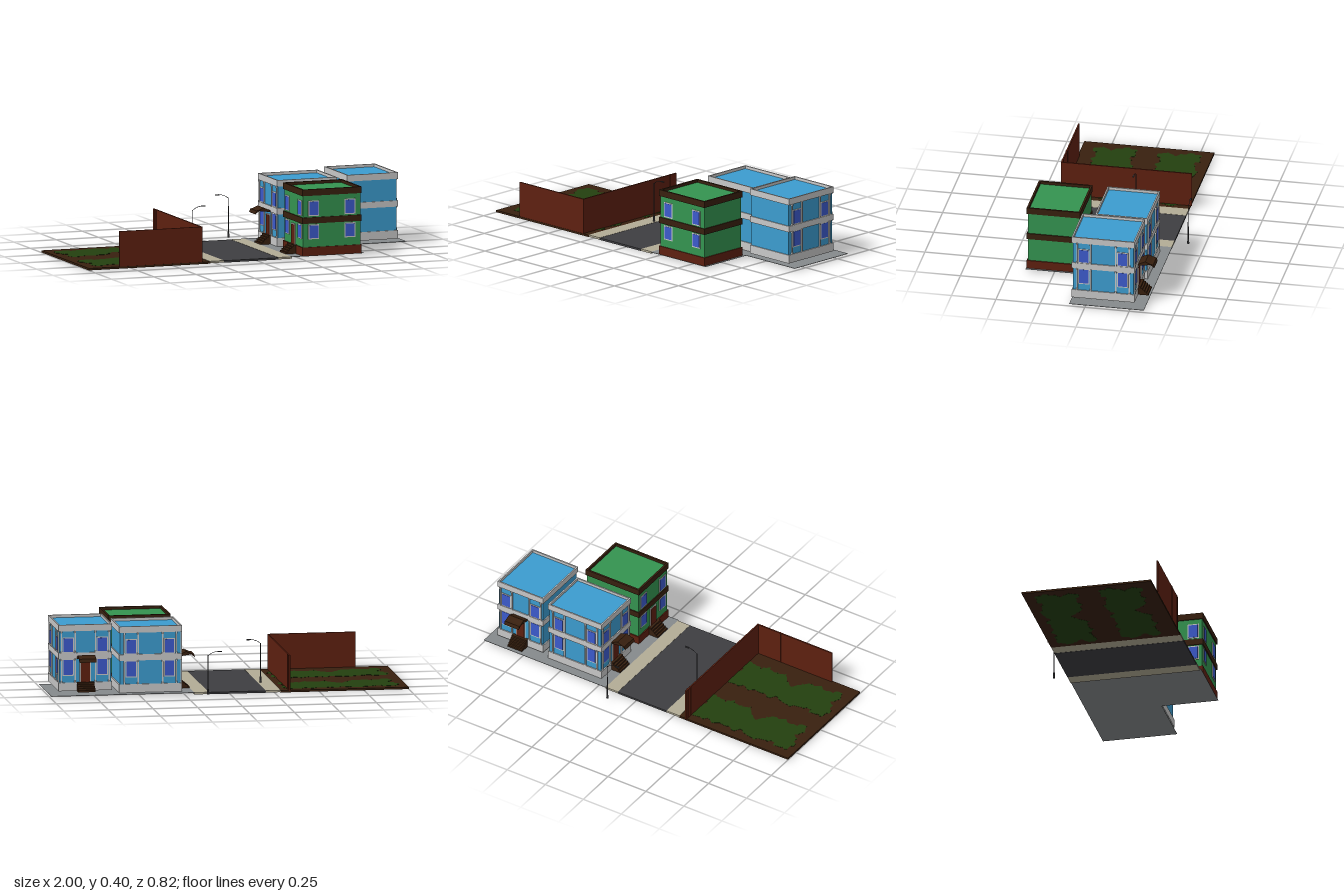
import * as THREE from 'three';

const flat = (name, color) => {
  const m = new THREE.MeshStandardMaterial({ color });
  m.name = name;
  return m;
};

export function createModel() {
  const M = {
    blue: flat('blueWall', 0x3c9ccf), green: flat('greenWall', 0x349450),
    white: flat('paleTrim', 0xc8c8c8), dark: flat('darkBrown', 0x38200f),
    brick: flat('brickRed', 0x5e2010), pane: flat('windowBlue', 0x3c5acc),
    grass: flat('grass', 0x23400f), asphalt: flat('asphalt', 0x3e3e41),
    kerb: flat('sidewalk', 0xb3ac96), lot: flat('paving', 0x868a8c),
  };
  const root = new THREE.Group();
  root.name = 'streetBlock';

  const add = (parent, name, geo, mat, x = 0, y = 0, z = 0) => {
    const m = new THREE.Mesh(geo, mat);
    m.name = name;
    m.position.set(x, y, z);
    parent.add(m);
    return m;
  };
  // Box given by its limits on each axis
  const box = (parent, name, mat, x0, x1, y0, y1, z0, z1) =>
    add(parent, name, new THREE.BoxGeometry(x1 - x0, y1 - y0, z1 - z0), mat,
      (x0 + x1) / 2, (y0 + y1) / 2, (z0 + z1) / 2);
  const group = (parent, name, x, y, z, ry = 0) => {
    const g = new THREE.Group();
    g.name = name;
    g.position.set(x, y, z);
    g.rotation.y = ry;
    parent.add(g);
    return g;
  };

  // Ground strips
  const G = 0.016;
  box(root, 'field', M.dark, -1, -0.28, 0.003, G - 0.002, -0.33, 0.402);
  box(root, 'fieldSidewalk', M.kerb, -0.285, -0.2, 0.005, G, -0.33, 0.402);
  box(root, 'road', M.asphalt, -0.2, 0.12, 0.004, G - 0.001, -0.33, 0.402);
  box(root, 'houseSidewalk', M.kerb, 0.12, 0.2, 0.005, G, -0.33, 0.402);
  box(root, 'frontLot', M.lot, 0.2, 0.624, G - 0.002, G, -0.332, 0.408);
  box(root, 'sideLot', M.lot, 0.624, 1, G - 0.002, G, -0.332, 0.088);

  // Ragged grass patches, seen on both faces of the field
  const outline = [[-0.95, -0.26], [-0.88, -0.27], [-0.84, -0.25], [-0.78, -0.27], [-0.7, -0.28],
    [-0.64, -0.25], [-0.6, -0.28], [-0.53, -0.26], [-0.48, -0.28], [-0.42, -0.27], [-0.38, -0.28],
    [-0.32, -0.26], [-0.31, -0.2], [-0.34, -0.15], [-0.3, -0.09], [-0.36, -0.06], [-0.42, -0.08],
    [-0.46, -0.05], [-0.52, -0.07], [-0.57, -0.05], [-0.61, -0.1], [-0.66, -0.13], [-0.7, -0.07],
    [-0.75, -0.05], [-0.8, -0.04], [-0.85, -0.06], [-0.9, -0.03], [-0.95, -0.07], [-0.92, -0.13],
    [-0.96, -0.19]];
  const curve = new THREE.CatmullRomCurve3(outline.map(([x, z]) => new THREE.Vector3(x, z, 0)), true);
  const pts = curve.getPoints(180).map((p, i) => new THREE.Vector2(
    p.x + 0.007 * Math.sin(i * 1.1) + 0.004 * Math.sin(i * 2.3),
    -p.y + 0.007 * Math.cos(i * 0.9) + 0.004 * Math.sin(i * 1.9)));
  pts.pop();
  const patchGeo = new THREE.ExtrudeGeometry(new THREE.Shape(pts), { depth: 0.013, bevelEnabled: false });
  patchGeo.rotateX(-Math.PI / 2);
  for (const dz of [0, 0.362]) add(root, 'grassPatch', patchGeo, M.grass, 0, 0.002, dz);

  // Field walls with slim pilasters
  box(root, 'sideFieldWall', M.brick, -0.336, -0.328, G - 0.004, 0.211, -0.337, 0.4);
  box(root, 'frontFieldWall', M.brick, -0.82, -0.33, G - 0.004, 0.211, 0.392, 0.4);
  for (const x of [-0.48, -0.357]) box(root, 'wallPilaster', M.brick, x - 0.004, x + 0.004, G, 0.211, 0.39, 0.402);
  for (const z of [-0.315, -0.29]) box(root, 'wallPilaster', M.brick, -0.338, -0.326, G, 0.211, z - 0.004, z + 0.004);

  // Street lamps; dir is the way the arm reaches
  const lamp = (x, z, dir) => {
    const g = group(root, 'streetLamp', x, G, z);
    add(g, 'lampBase', new THREE.CylinderGeometry(0.005, 0.006, 0.032, 8), M.asphalt, 0, 0.016, 0);
    add(g, 'lampPole', new THREE.CylinderGeometry(0.002, 0.0035, 0.19, 8), M.asphalt, 0, 0.125, 0);
    const arm = new THREE.QuadraticBezierCurve3(new THREE.Vector3(0, 0.216, 0),
      new THREE.Vector3(dir * 0.02, 0.238, 0), new THREE.Vector3(dir * 0.06, 0.241, 0));
    add(g, 'lampArm', new THREE.TubeGeometry(arm, 10, 0.0015, 6), M.asphalt);
    box(g, 'lampHead', M.asphalt, dir * 0.066 - 0.012, dir * 0.066 + 0.012, 0.237, 0.242, -0.004, 0.004);
  };
  lamp(-0.217, -0.045, 1);
  lamp(0.137, -0.41, -1);

  // Extruded side profile [out, y] centred across a face
  const profile = (parent, name, points, width, mat) => {
    const geo = new THREE.ExtrudeGeometry(new THREE.Shape(points.map(p => new THREE.Vector2(...p))),
      { depth: width, bevelEnabled: false });
    geo.translate(0, 0, -width / 2).rotateY(-Math.PI / 2);
    return add(parent, name, geo, mat);
  };

  // Four thin walls making an open ring
  const ring = (g, name, mat, w, d, y0, y1, t) => {
    const s = new THREE.Shape([[-w, -d], [w, -d], [w, d], [-w, d]].map(([a, b]) => new THREE.Vector2(a / 2, b / 2)));
    const a = w / 2 - t, b = d / 2 - t;
    s.holes.push(new THREE.Path([[-a, -b], [-a, b], [a, b], [a, -b]].map(p => new THREE.Vector2(...p))));
    const geo = new THREE.ExtrudeGeometry(s, { depth: y1 - y0, bevelEnabled: false });
    geo.rotateX(-Math.PI / 2);
    add(g, name, geo, mat, 0, y0, 0);
  };

  const windowUnit = (face, u, y, h, columns) => {
    const w = 0.052, f = 0.006;
    box(face, 'windowFrame', M.white, u - w / 2 - f, u + w / 2 + f, y - h / 2 - f, y + h / 2 + f, -0.002, 0.003);
    box(face, 'windowPane', M.pane, u - w / 2, u + w / 2, y - h / 2, y + h / 2, 0, 0.0045);
    if (!columns) return;
    const [y0, y1] = y < 0.19 ? [0.047, 0.18] : [0.212, 0.335];
    for (const s of [-1, 1]) {
      const c = u + s * 0.038;
      box(face, 'column', M.white, c - 0.0035, c + 0.0035, y0, y1, -0.002, 0.007);
      for (const yy of [y0, y1 - 0.01]) box(face, 'columnBlock', M.white, c - 0.005, c + 0.005, yy, yy + 0.01, -0.002, 0.009);
    }
  };

  const entrance = (face, canopy) => {
    box(face, 'doorFrame', M.white, -0.031, 0.031, 0.045, 0.163, -0.002, 0.004);
    box(face, 'door', M.brick, -0.025, 0.025, 0.045, 0.157, 0, 0.006);
    const steps = [[0, 0]];
    for (let i = 0; i < 5; i++) {
      const out = 0.064 - i * 0.011;
      steps.push([out, i * 0.0098], [out, (i + 1) * 0.0098]);
    }
    steps.push([0, 0.049]);
    profile(face, 'stairs', steps, 0.096, M.dark);
    if (canopy) {
      profile(face, 'canopy', [[0, 0.178], [0.075, 0.188], [0.097, 0.171], [0.085, 0.186],
        [0.075, 0.193], [0.046, 0.205], [0, 0.185]].map(([a, b], i) => i === 3 ? [0.09, 0.19] : [a, b]), 0.096, M.dark);
    }
  };

  // Two-storey house with bands, open parapet and decorated faces
  const house = (name, x, y, z, w, d, o) => {
    const g = group(root, name, x, y, z);
    const e = 0.006;
    box(g, 'walls', o.wall, -w / 2 + e, w / 2 - e, 0.001, o.roofY, -d / 2 + e, d / 2 - e);
    box(g, 'baseBand', o.base, -w / 2, w / 2, 0, 0.047, -d / 2, d / 2);
    box(g, 'middleBand', o.trim, -w / 2, w / 2, 0.179, 0.213, -d / 2, d / 2);
    ring(g, 'parapet', o.trim, w, d, 0.334, 0.37, o.rim);
    const turns = { front: 0, right: Math.PI / 2, back: Math.PI, left: -Math.PI / 2 };
    for (const [side, spec] of Object.entries(o.faces)) {
      const depth = (side === 'front' || side === 'back' ? d : w) / 2 - e;
      const turn = turns[side];
      const face = group(g, side + 'Face', Math.sin(turn) * depth, 0, Math.cos(turn) * depth, turn);
      for (const u of [-spec.u, spec.u]) {
        windowUnit(face, u, 0.132, o.columns ? 0.083 : 0.07, o.columns);
        windowUnit(face, u, o.columns ? 0.256 : 0.263, 0.074, o.columns);
      }
      if (spec.door) entrance(face, o.columns);
    }
  };
  const blue = { wall: M.blue, trim: M.white, base: M.white, rim: 0.008, roofY: 0.354, columns: true };
  house('sideBlueHouse', 0.8, 0.033, -0.093, 0.3, 0.354,
    { ...blue, faces: { right: { u: 0.109 }, back: { u: 0.095, door: true } } });
  house('frontBlueHouse', 0.437, G, -0.129, 0.352, 0.296,
    { ...blue, faces: { back: { u: 0.107 }, left: { u: 0.095, door: true } } });
  house('greenHouse', 0.437, G, 0.254, 0.35, 0.302,
    { wall: M.green, trim: M.dark, base: M.brick, rim: 0.011, roofY: 0.354, columns: false,
      faces: { front: { u: 0.107 }, left: { u: 0.095, door: true } } });

  return root;
}
